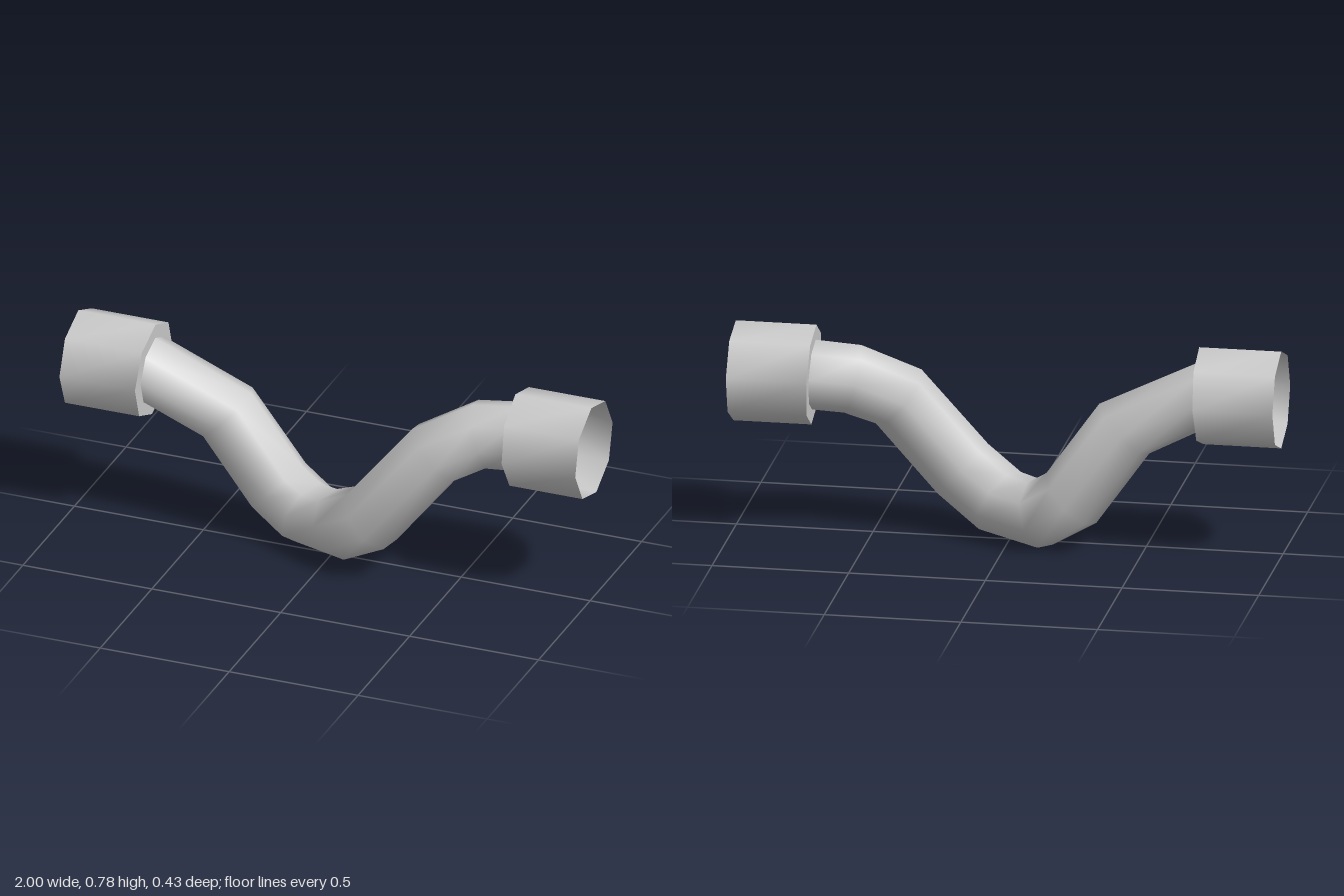
import * as THREE from 'three';

const SIDES = 8;
const PIPE_R = 0.128;
const COLLAR_R = 0.183;

// Stations along the pipe: centre, then direction of travel
const STATIONS = [
  [-1.0, 0.597, -0.037, 1, 0, 0],
  [-0.707, 0.597, -0.037, 1, -0.04, 0],
  [-0.43, 0.465, -0.063, 0.70, -0.71, -0.06],
  [-0.24, 0.198, -0.08, 0.70, -0.70, 0.07],
  [-0.12, 0.123, -0.055, 0.87, -0.28, 0.36],
  [0.04, 0.14, 0.022, 0.82, 0.42, 0.40],
  [0.188, 0.23, 0.092, 0.72, 0.68, 0.08],
  [0.413, 0.508, 0.037, 0.72, 0.66, -0.24],
  [0.57, 0.585, -0.025, 0.93, 0.25, -0.20],
  [0.71, 0.597, -0.037, 1, 0.03, -0.02],
  [1.0, 0.597, -0.037, 1, 0, 0],
];

// Carry an untwisted cross-section frame from station to station
function makeFrames() {
  const up = new THREE.Vector3(0, 1, 0);
  const last = new THREE.Vector3(1, 0, 0);
  return STATIONS.map(([x, y, z, dx, dy, dz]) => {
    const dir = new THREE.Vector3(dx, dy, dz).normalize();
    up.applyQuaternion(new THREE.Quaternion().setFromUnitVectors(last, dir)).normalize();
    last.copy(dir);
    return {
      centre: new THREE.Vector3(x, y, z),
      up: up.clone(),
      side: new THREE.Vector3().crossVectors(dir, up),
    };
  });
}

// Skin a list of [frame, radius] rings with smooth normals
function skin(name, rings, material) {
  const points = [], index = [];
  rings.forEach(([frame, radius], i) => {
    for (let j = 0; j < SIDES; j++) {
      const a = (j / SIDES) * Math.PI * 2;
      const p = frame.centre.clone()
        .addScaledVector(frame.up, radius * Math.cos(a))
        .addScaledVector(frame.side, radius * Math.sin(a));
      points.push(p);
      if (i === rings.length - 1) continue;
      const k = (j + 1) % SIDES;
      const here = i * SIDES, next = here + SIDES;
      index.push(here + j, here + k, next + j, here + k, next + k, next + j);
    }
  });
  const geometry = new THREE.BufferGeometry().setFromPoints(points);
  geometry.setIndex(index);
  geometry.computeVertexNormals();
  const mesh = new THREE.Mesh(geometry, material);
  mesh.name = name;
  return mesh;
}

export function createModel() {
  const model = new THREE.Group();
  model.name = 'bentPipe';
  const material = new THREE.MeshStandardMaterial({ color: 0xcccccc, side: THREE.DoubleSide });
  const f = makeFrames();
  const n = f.length;

  // Bent pipe between the two collars
  model.add(skin('pipe', f.slice(1, n - 1).map((frame) => [frame, PIPE_R]), material));

  // Open collars, each closed down to the pipe by a flat shoulder
  model.add(skin('rightCollar', [[f[0], COLLAR_R], [f[1], COLLAR_R]], material));
  model.add(skin('rightShoulder', [[f[1], COLLAR_R], [f[1], PIPE_R]], material));
  model.add(skin('leftShoulder', [[f[n - 2], PIPE_R], [f[n - 2], COLLAR_R]], material));
  model.add(skin('leftCollar', [[f[n - 2], COLLAR_R], [f[n - 1], COLLAR_R]], material));

  return model;
}
